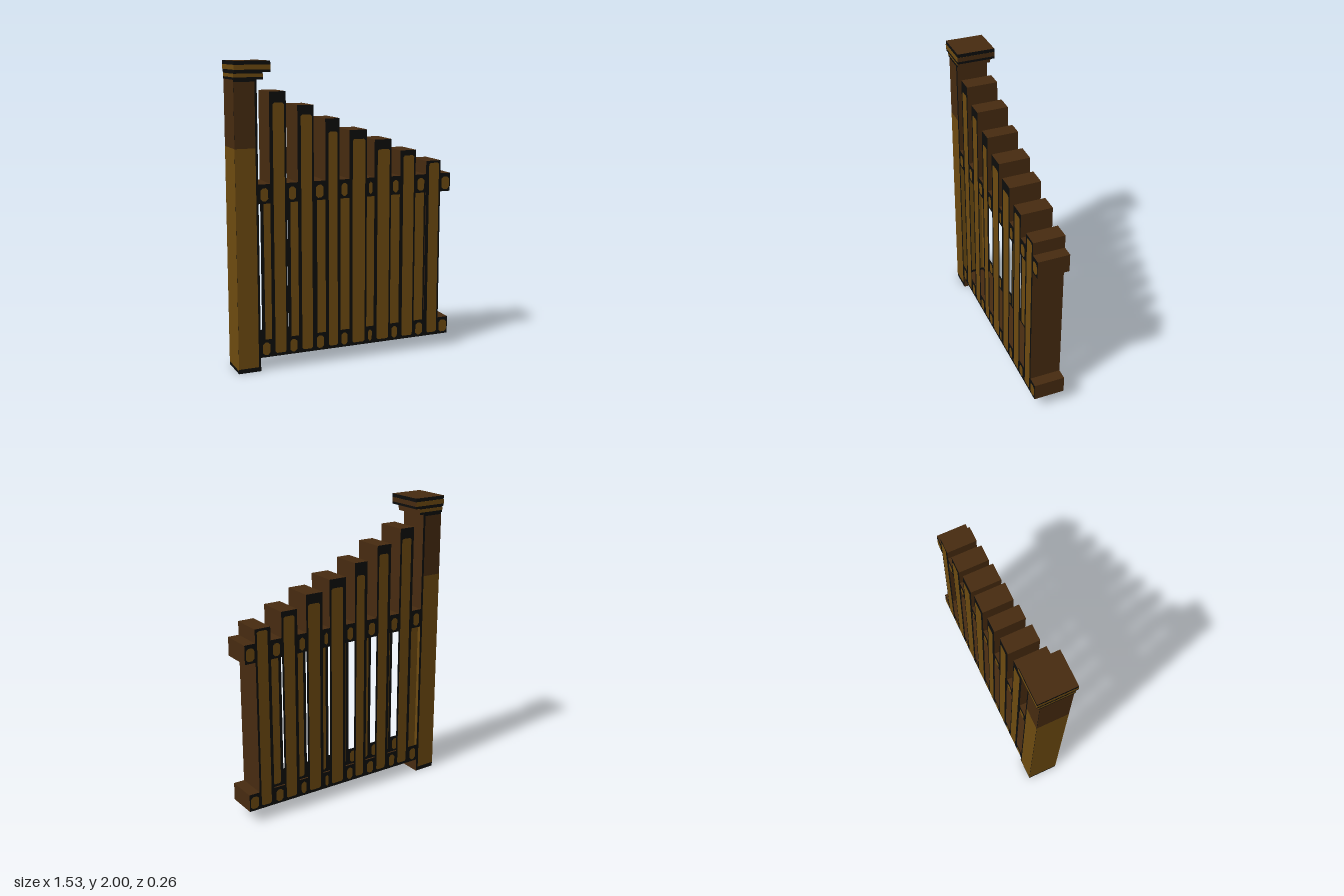
import * as THREE from 'three';
import { mergeGeometries } from 'three/addons/utils/BufferGeometryUtils.js';

const mat = (name, color) => new THREE.MeshStandardMaterial({ name, color, side: THREE.DoubleSide });

const D = 0.105; // half depth of the fence
const POST = [-0.765, -0.615], END = 0.76;
const LOW = [0.09, 0.21], HIGH = [1.105, 1.23];
// left, right, top, top of the painted board
const PICKETS = [
  [-0.537, -0.426, 1.81, 1.74],
  [-0.35, -0.24, 1.72, 1.66],
  [-0.16, -0.062, 1.63, 1.545],
  [0.01, 0.135, 1.55, 1.49],
  [0.19, 0.313, 1.48, 1.415],
  [0.38, 0.495, 1.4, 1.365],
  [0.575, 0.685, 1.32, 1.305],
];

// rectangle path with optional cut corners
function rect(x0, x1, y0, y1, c = 0) {
  const pts = c
    ? [[x0 + c, y0], [x1 - c, y0], [x1, y0 + c], [x1, y1 - c], [x1 - c, y1], [x0 + c, y1], [x0, y1 - c], [x0, y0 + c]]
    : [[x0, y0], [x1, y0], [x1, y1], [x0, y1]];
  return new THREE.Shape(pts.map(p => new THREE.Vector2(...p)));
}

// the same flat shapes repeated at several depths
function sheets(shapes, depths) {
  return mergeGeometries(depths.map(z => new THREE.ShapeGeometry(shapes).translate(0, 0, z)));
}

// strip of wall along a path, spanning the full depth
function wall(points) {
  const pos = [];
  for (let i = 0; i + 1 < points.length; i++) {
    const [a, b] = [points[i], points[i + 1]];
    pos.push(...a, D, ...a, -D, ...b, -D, ...a, D, ...b, -D, ...b, D);
  }
  const g = new THREE.BufferGeometry();
  g.setAttribute('position', new THREE.Float32BufferAttribute(pos, 3));
  g.computeVertexNormals();
  return g;
}

export function createModel() {
  const group = new THREE.Group();
  const gold = mat('light brown wood', 0x6e4b10);
  const dark = mat('dark brown wood', 0x472b10);
  const black = mat('black outline', 0x0d0d0c);
  const add = (name, geo, material) => {
    const m = new THREE.Mesh(geo, material);
    m.name = name;
    group.add(m);
    return m;
  };

  // stepped silhouette, counter-clockwise from the foot of the post
  const lastX = PICKETS[6][1];
  const outline = [
    [POST[0], 0], [POST[1], 0], [POST[1], LOW[0]], [END, LOW[0]], [END, LOW[1]],
    [lastX, LOW[1]], [lastX, HIGH[0]], [END, HIGH[0]], [END, HIGH[1]],
  ];
  for (const [l, r, top] of [...PICKETS].reverse())
    outline.push([r, HIGH[1]], [r, top], [l, top], [l, HIGH[1]]);
  outline.push([POST[1], HIGH[1]], [POST[1], 1.89], [POST[0], 1.89], [POST[0], 1.46]);

  // outer walls
  add('outerWalls', wall(outline), dark);
  add('postOuterSide', wall([[POST[0], 1.46], [POST[0], 0.02]]), gold);
  add('postOuterFoot', wall([[POST[0], 0.02], [POST[0], 0]]), black);

  // front and back faces with open gaps between the pickets
  const face = new THREE.Shape([...outline, [POST[0], 0]].slice(0, -1).map(p => new THREE.Vector2(...p)));
  const boards = [], studs = [];
  PICKETS.forEach(([l, r, , boardTop], i) => {
    const gapLeft = i ? PICKETS[i - 1][1] : POST[1];
    face.holes.push(rect(gapLeft, l, LOW[1], HIGH[0]));
    boards.push(rect(l + 0.022, r - 0.013, 0.11, boardTop, 0.01));
    for (const y of [0.105, 1.12]) studs.push(rect(gapLeft + 0.014, l - 0.014, y, y + 0.085, 0.015));
  });
  for (const y of [0.105, 1.12]) studs.push(rect(lastX + 0.008, END - 0.008, y, y + 0.085, 0.015));
  add('fenceFaces', sheets([face], [D, -D]), black);

  // painted boards, seen from outside and through the gaps
  const skins = [D + 0.002, D - 0.002, -D + 0.002, -D - 0.002];
  add('picketBoards', sheets(boards, skins), gold);
  add('railBlocks', sheets(studs, skins), gold);
  add('postLowerBoard', sheets([rect(POST[0], -0.63, 0.03, 1.46)], skins), gold);
  add('postUpperBoard', sheets([rect(POST[0], -0.63, 1.46, 1.872)], skins), dark);

  // post cap: a neck and a wider slab, each with a painted band
  const block = (name, x0, x1, y0, y1, d, mats) => {
    const m = add(name, new THREE.BoxGeometry(x1 - x0, y1 - y0, 2 * d), mats);
    m.position.set((x0 + x1) / 2, (y0 + y1) / 2, 0);
  };
  const band = [dark, gold, gold, gold, gold, gold];
  block('capNeck', POST[0], -0.577, 1.885, 1.93, 0.113, [dark, black, dark, dark, black, black]);
  block('capNeckBand', POST[0] - 0.001, -0.576, 1.9, 1.922, 0.115, band);
  block('capSlab', POST[0], -0.532, 1.93, 2, 0.127, [black, black, dark, dark, black, black]);
  block('capSlabBand', POST[0] - 0.001, -0.531, 1.946, 1.976, 0.129, band);
  return group;
}
